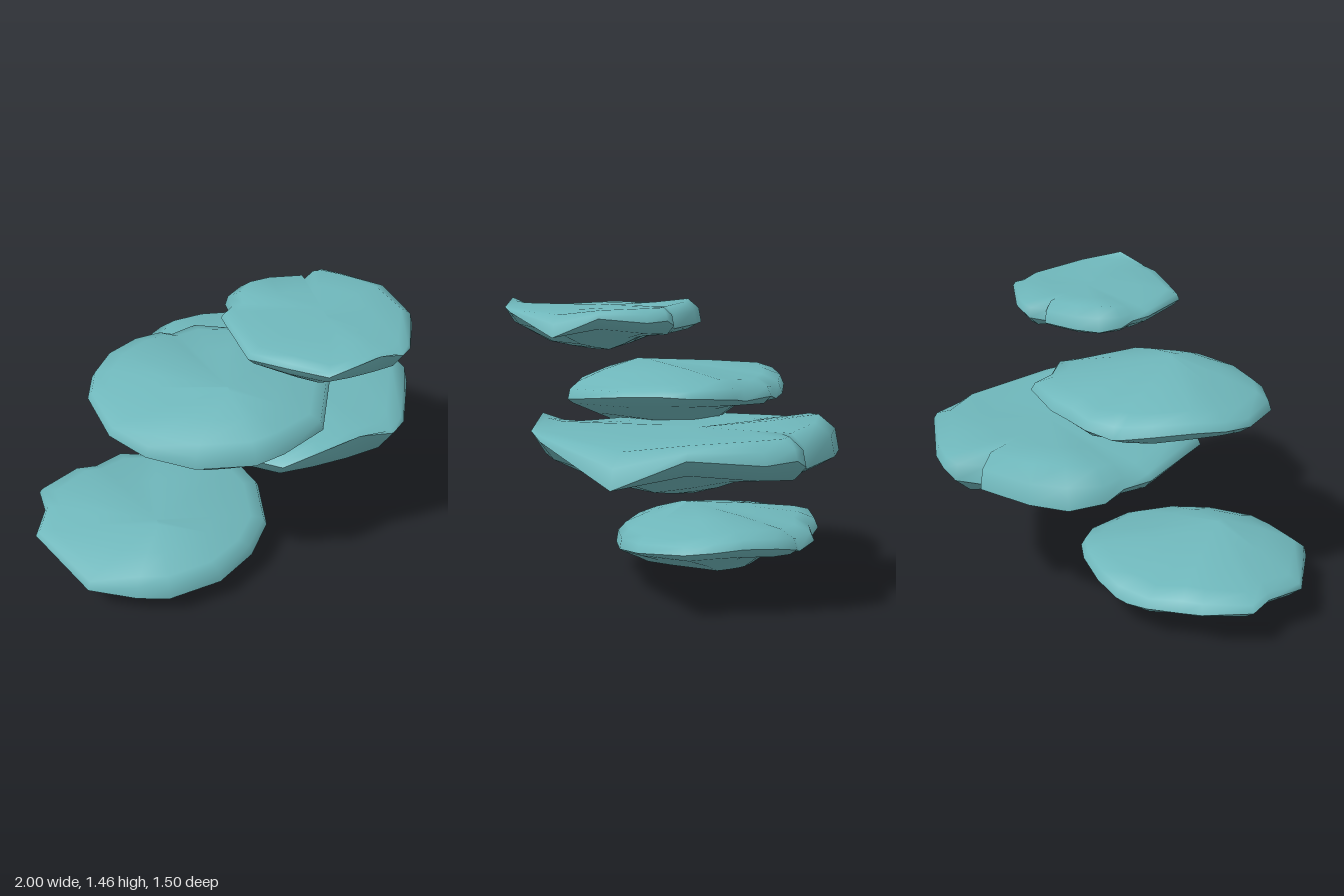
import * as THREE from 'three';
import { mergeVertices } from 'three/addons/utils/BufferGeometryUtils.js';

// Rim points running left, back, right, front. Each row holds x, y, z of the rim,
// then the height just inside it on top, below, and halfway to the keel below.
const domedRim = [
  [-1, .21, .08, .25, .155, .06], [-.92, .21, -.1, .26, .16, .07], [-.92, .21, -.25, .265, .165, .09],
  [-.71, .19, -.37, .275, .155, .11], [-.6, .17, -.38, .265, .145, .115], [-.45, .18, -.45, .255, .14, .115],
  [-.32, .15, -.42, .255, .14, .115], [-.26, .17, -.43, .265, .14, .115], [-.12, .2, -.38, .28, .15, .115],
  [.04, .22, -.27, .29, .17, .11], [.14, .21, -.15, .275, .17, .1], [.19, .195, -.01, .255, .155, .08],
  [.15, .17, .27, .245, .145, .075], [.02, .145, .44, .24, .125, .06], [-.18, .13, .57, .235, .115, .05],
  [-.45, .13, .62, .235, .115, .055], [-.6, .135, .58, .235, .12, .055], [-.82, .155, .48, .24, .13, .06],
];
const dishedRim = [
  [-.4, .8, -.34, .85, .74, .61], [-.31, .77, -.43, .86, .72, .62], [-.3, .75, -.57, .885, .71, .63],
  [-.17, .72, -.68, .9, .69, .63], [.02, .72, -.73, .885, .68, .635], [.32, .71, -.71, .87, .67, .635],
  [.33, .71, -.66, .865, .67, .635], [.44, .74, -.75, .87, .67, .635], [.52, .78, -.74, .87, .68, .635],
  [.65, .77, -.64, .87, .69, .63], [.89, .81, -.37, .865, .73, .61], [1, .67, -.05, .83, .7, .585],
  [.78, .82, .44, .85, .73, .585], [.68, .85, .55, .86, .74, .58], [.49, .91, .6, .87, .75, .58],
  [.3, .85, .595, .85, .73, .58], [.12, .79, .585, .835, .72, .58], [-.12, .78, .39, .84, .71, .58],
  [-.35, .77, .19, .845, .72, .6],
];

const mix = THREE.MathUtils.lerp;

// Smooth skin stretched from the rim to a short keel line along z.
// rings(row) lists [share of the way to the keel, height] for one rim point.
function skin(rim, keel, rings, facesUp) {
  const n = rim.length, pos = [], index = [];
  const profiles = rim.map(rings), count = profiles[0].length;
  for (let r = 0; r < count; r++) {
    rim.forEach(([x, , z], i) => {
      const [s, y] = profiles[i][r];
      pos.push(mix(x, keel.x, s), y, mix(z, THREE.MathUtils.clamp(z, keel.back, keel.front), s));
    });
  }
  const face = (a, b, c) => (facesUp ? index.push(a, b, c) : index.push(a, c, b));
  for (let r = 0; r < count - 1; r++) {
    for (let i = 0; i < n; i++) {
      const a = r * n + i, b = r * n + (i + 1) % n;
      face(a, a + n, b);
      face(b, a + n, b + n);
    }
  }
  const g = new THREE.BufferGeometry();
  g.setAttribute('position', new THREE.Float32BufferAttribute(pos, 3));
  g.setIndex(index);
  const merged = mergeVertices(g);
  merged.computeVertexNormals();
  return merged;
}

// A floating slab: upper and lower skins meeting in a sharp rim
function slab(name, material, rim, crest, keel) {
  const group = new THREE.Group();
  group.name = name;
  const topRings = ([, y, , top]) =>
    [[0, y], [.03, mix(y, top, .6)], [.15, top], [.5, mix(top, crest.y, crest.mid)], [1, crest.y]];
  const bellyRings = ([, y, , , belly, half]) =>
    [[0, y], [.1, belly], [.5, half], [.75, mix(half, keel.y, keel.mid)], [1, keel.y]];
  const upper = new THREE.Mesh(skin(rim, crest, topRings, true), material);
  upper.name = 'upperSurface';
  const lower = new THREE.Mesh(skin(rim, keel, bellyRings, false), material);
  lower.name = 'underside';
  group.add(upper, lower);
  return group;
}

export function createModel() {
  const teal = new THREE.MeshStandardMaterial({ color: 0x6fb7bb });
  teal.name = 'teal stone';
  const model = new THREE.Group();
  model.name = 'floatingSlabs';

  // Domed slab at the bottom
  const crest = { x: -.42, y: .33, mid: .5, back: .26, front: .3 };
  const keel = { x: -.36, y: 0, mid: .72, back: 0, front: .42 };
  const lowest = slab('lowestSlab', teal, domedRim, crest, keel);

  // Its mirrored twin higher up
  const mirroredRim = domedRim.map(([x, ...rest]) => [-x, ...rest]).reverse();
  const third = slab('thirdSlab', teal, mirroredRim,
    { ...crest, x: -crest.x }, { ...keel, x: -keel.x });
  third.position.set(-.5, .8, .08);

  // Dished slab, and its smaller copy at the top
  const second = slab('secondSlab', teal, dishedRim,
    { x: .32, y: .865, mid: .6, back: -.15, front: 0 },
    { x: .14, y: .505, mid: .55, back: -.04, front: .1 });
  const top = second.clone();
  top.name = 'topSlab';
  top.scale.setScalar(.63);
  top.position.set(.192, .889, .372);

  model.add(lowest, second, third, top);
  return model;
}
